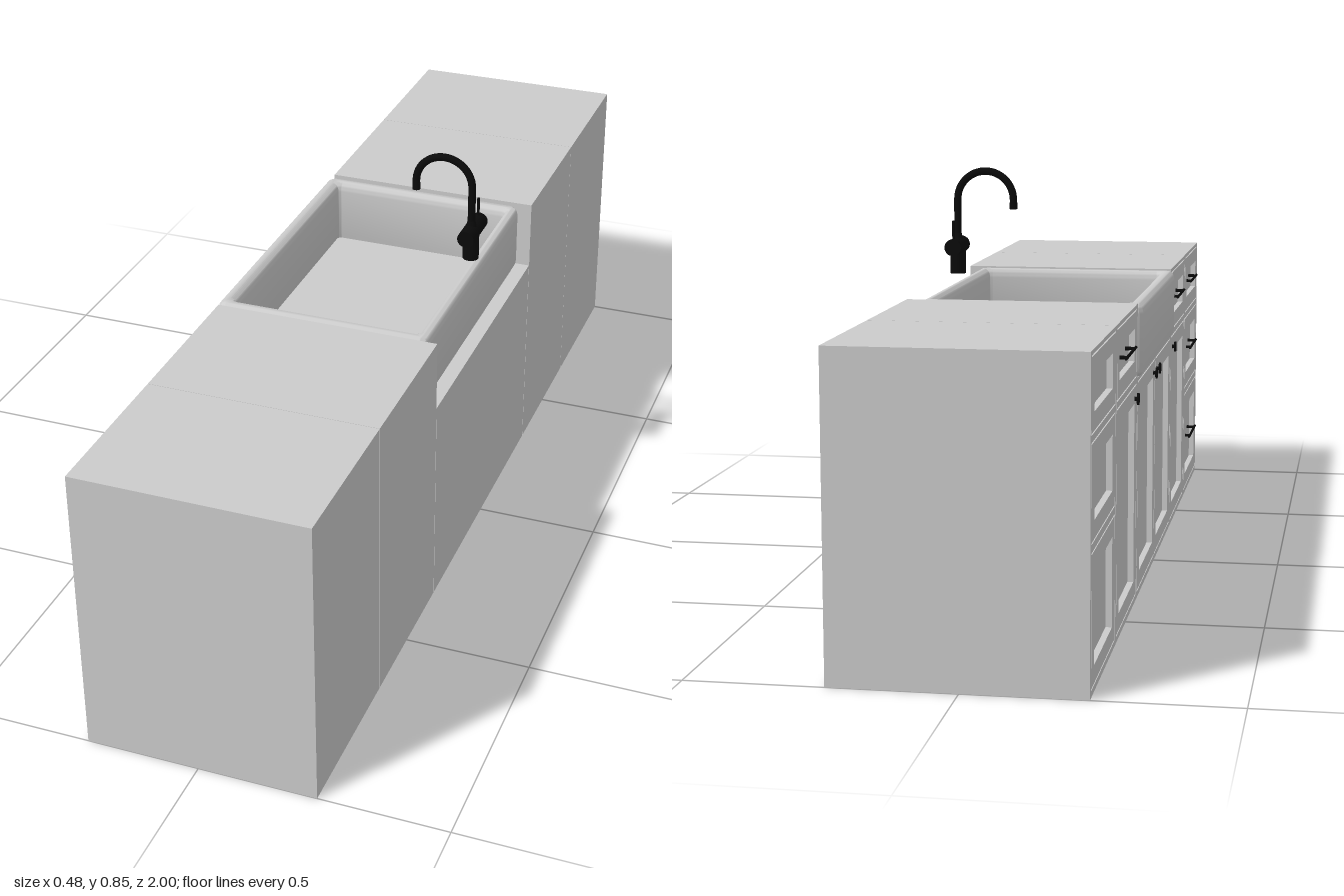
import * as THREE from 'three';
import { toCreasedNormals } from 'three/addons/utils/BufferGeometryUtils.js';

const grey = new THREE.MeshStandardMaterial({ color: 0xcccccc });
const black = new THREE.MeshStandardMaterial({ color: 0x0a0a0a });

const FACE = -0.23;      // plane of the cabinet fronts
const RECESS = 0.012;    // depth of panels and gaps
const HEIGHT = 0.605;
const SINK_Y = 0.455;    // underside of the sink

function add(parent, name, geometry, material, x = 0, y = 0, z = 0) {
  const mesh = new THREE.Mesh(geometry, material);
  mesh.name = name;
  mesh.position.set(x, y, z);
  parent.add(mesh);
  return mesh;
}

function trace(path, [x0, x1, y0, y1], inset = 0) {
  path.moveTo(x0 + inset, y0 + inset);
  path.lineTo(x1 - inset, y0 + inset);
  path.lineTo(x1 - inset, y1 - inset);
  path.lineTo(x0 + inset, y1 - inset);
  path.closePath();
  return path;
}

function roundedRect(path, x0, x1, y0, y1, r) {
  path.moveTo(x0 + r, y0);
  path.lineTo(x1 - r, y0);
  path.absarc(x1 - r, y0 + r, r, -Math.PI / 2, 0);
  path.lineTo(x1, y1 - r);
  path.absarc(x1 - r, y1 - r, r, 0, Math.PI / 2);
  path.lineTo(x0 + r, y1);
  path.absarc(x0 + r, y1 - r, r, Math.PI / 2, Math.PI);
  path.lineTo(x0, y0 + r);
  path.absarc(x0 + r, y0 + r, r, Math.PI, Math.PI * 1.5);
  return path;
}

// Flat frame standing on the cabinet front; rectangles are [z0, z1, y0, y1]
function frontFrame(parent, name, outer, holes) {
  const shape = trace(new THREE.Shape(), outer);
  shape.holes = holes.map(h => trace(new THREE.Path(), h));
  const geometry = new THREE.ExtrudeGeometry(shape, { depth: RECESS, bevelEnabled: false });
  geometry.rotateY(-Math.PI / 2);
  add(parent, name, geometry, grey, FACE + RECESS);
}

// Carcass, face frame and framed fronts of one cabinet
function cabinet(parent, name, z0, z1, height, fronts) {
  const group = new THREE.Group();
  group.name = name;
  parent.add(group);
  const depth = 0.24 - FACE - RECESS;
  add(group, 'carcass', new THREE.BoxGeometry(depth, height, z1 - z0), grey,
    0.24 - depth / 2, height / 2, (z0 + z1) / 2);
  frontFrame(group, 'faceFrame', [z0, z1, 0, height], fronts);
  for (const f of fronts) {
    const rail = 0.036, gap = 0.003;
    const outer = [f[0] + gap, f[1] - gap, f[2] + gap, f[3] - gap];
    const panel = [f[0] + rail, f[1] - rail, f[2] + rail, f[3] - rail];
    frontFrame(group, 'frontFrame', outer, [panel]);
  }
}

function barHandle(parent, y, z) {
  const group = new THREE.Group();
  group.name = 'barHandle';
  group.position.set(0, y, z);
  parent.add(group);
  const bar = new THREE.CylinderGeometry(0.003, 0.003, 0.16, 12).rotateX(Math.PI / 2);
  add(group, 'bar', bar, black, -0.237);
  for (const s of [-1, 1]) {
    const post = new THREE.CylinderGeometry(0.003, 0.004, 0.02, 12).rotateZ(Math.PI / 2);
    add(group, 'post', post, black, -0.228, 0, s * 0.06);
  }
}

function knob(parent, y, z) {
  const profile = [[0, 0], [0.007, 0], [0.004, 0.003], [0.004, 0.006], [0.012, 0.007], [0.012, 0.011], [0, 0.012]];
  const geometry = new THREE.LatheGeometry(profile.map(p => new THREE.Vector2(...p)), 20);
  geometry.rotateZ(Math.PI / 2);
  add(parent, 'knob', toCreasedNormals(geometry, 0.6), black, FACE + 0.002, y, z);
}

function sink(parent) {
  const group = new THREE.Group();
  group.name = 'sink';
  parent.add(group);
  const shape = roundedRect(new THREE.Shape(), -0.24, 0.215, -0.325, 0.325, 0.022);
  shape.holes.push(roundedRect(new THREE.Path(), -0.207, 0.188, -0.293, 0.293, 0.008));
  const bevel = 0.02;
  const geometry = new THREE.ExtrudeGeometry(shape, {
    depth: 0.603 - SINK_Y - 2 * bevel, curveSegments: 8,
    bevelThickness: bevel, bevelSize: 0.012, bevelOffset: -0.012, bevelSegments: 6,
  });
  geometry.rotateX(-Math.PI / 2);
  add(group, 'basinWalls', toCreasedNormals(geometry, 0.7), grey, 0, SINK_Y + bevel);
  add(group, 'basinFloor', new THREE.BoxGeometry(0.411, 0.008, 0.602), grey, -0.0095, SINK_Y + 0.006);
}

function faucet(parent) {
  const group = new THREE.Group();
  group.name = 'faucet';
  group.position.set(0.2, 0, -0.008);
  parent.add(group);
  add(group, 'base', new THREE.CylinderGeometry(0.017, 0.017, 0.06, 24), black, 0, 0.655);
  const valve = new THREE.CylinderGeometry(0.018, 0.018, 0.098, 24).rotateX(Math.PI / 2);
  add(group, 'valveBody', valve, black, 0, 0.685, -0.009);
  add(group, 'lever', new THREE.CylinderGeometry(0.003, 0.003, 0.05, 12), black, 0, 0.717, -0.047);
  add(group, 'neckCollar', new THREE.CylinderGeometry(0.007, 0.012, 0.02, 20), black, 0, 0.706);

  // Gooseneck: straight riser, half circle, short drop
  const at = (x, y) => new THREE.Vector3(x, y, 0);
  const points = [at(0, 0.7), at(0, 0.73), at(0, 0.76)];
  for (let i = 0; i <= 12; i++) {
    const a = Math.PI * i / 12;
    points.push(at(-0.061 + 0.061 * Math.cos(a), 0.785 + 0.061 * Math.sin(a)));
  }
  points.push(at(-0.122, 0.766));
  const path = new THREE.CatmullRomCurve3(points);
  add(group, 'spout', new THREE.TubeGeometry(path, 64, 0.008, 16), black);
  add(group, 'spoutTip', new THREE.CylinderGeometry(0.0085, 0.0085, 0.014, 16), black, -0.122, 0.772);
}

export function createModel() {
  const model = new THREE.Group();
  model.name = 'sinkCabinets';
  const rows = [[0.012, 0.255], [0.27, 0.447], [0.46, 0.597]];

  // Mirrored drawer banks and drawer-over-door cabinets
  for (const s of [-1, 1]) {
    const span = (a, b) => s > 0 ? [a, b] : [-b, -a];
    const side = s > 0 ? 'left' : 'right';
    cabinet(model, side + 'DrawerBank', ...span(0.662, 1), HEIGHT,
      rows.map(r => [...span(0.674, 0.988), ...r]));
    cabinet(model, side + 'DoorCabinet', ...span(0.329, 0.661), HEIGHT,
      [[0.012, 0.447], rows[2]].map(r => [...span(0.34, 0.65), ...r]));
    barHandle(model, 0.53, s * 0.495);
    knob(model, 0.42, s * 0.37);
    knob(model, 0.42, s * 0.033);
  }
  // Only one drawer bank carries pulls
  for (const y of [0.53, 0.362, 0.135]) barHandle(model, y, 0.83);

  cabinet(model, 'sinkCabinet', -0.327, 0.327, SINK_Y,
    [[-0.318, -0.002, 0.012, 0.447], [0.002, 0.318, 0.012, 0.447]]);
  sink(model);
  faucet(model);
  return model;
}
